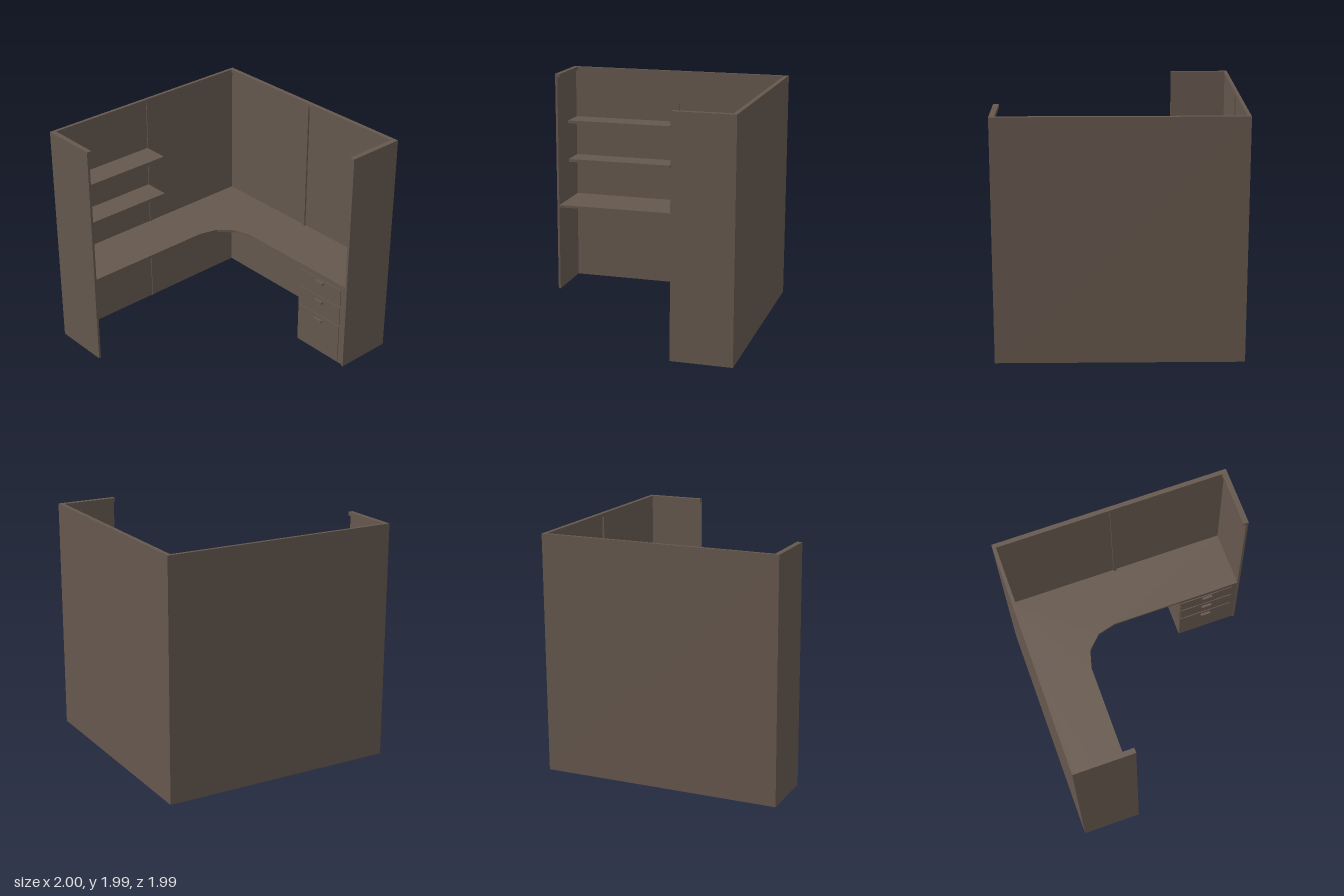
import * as THREE from 'three';

const material = new THREE.MeshStandardMaterial({ color: 0x65574d });

// Box given by its [min, max] range along each axis
function box(name, [x0, x1], [y0, y1], [z0, z1]) {
  const mesh = new THREE.Mesh(new THREE.BoxGeometry(x1 - x0, y1 - y0, z1 - z0), material);
  mesh.name = name;
  mesh.position.set((x0 + x1) / 2, (y0 + y1) / 2, (z0 + z1) / 2);
  return mesh;
}

export function createModel() {
  const group = new THREE.Group();
  const add = (...args) => group.add(box(...args));
  const H = 1.99, D = 0.995, T = 0.02, capY = 1.96;

  // Partition walls
  add('backWall', [-1, 1], [0, capY], [-D, -D + T]);
  add('rightWall', [1 - T, 1], [0, capY], [-D + T, D]);
  add('leftWall', [-1, -1 + T], [0, capY], [-D + T, -0.49]);
  add('frontWall', [0.49, 1 - T], [0, capY], [D - T, D]);

  // Wider top rails overhanging the inside of the walls
  add('backRail', [-1, 1], [capY, H], [-D, -0.967]);
  add('rightRail', [0.963, 1], [capY, H], [-0.967, D]);
  add('leftRail', [-1, -0.957], [capY, H], [-0.967, -0.49]);
  add('frontRail', [0.49, 0.963], [capY, H], [0.95, D]);

  // Joining posts halfway along the two long walls
  add('backPost', [-0.015, 0.01], [0, capY], [-D + T, -0.967]);
  add('rightPost', [0.965, 1 - T], [0, capY], [-0.013, 0.013]);

  // Wall shelves
  for (const y of [1.14, 1.5]) add('shelf', [-0.98, -0.015], [y, y + 0.026], [-D + T, -0.75]);

  // L-shaped desktop with a faceted inner curve (shape y is -z)
  const s = new THREE.Shape();
  s.moveTo(-0.98, D - T);
  s.lineTo(-0.98, 0.495);
  const r = 0.32;
  for (let i = 0; i <= 3; i++) {
    const a = Math.PI / 2 - (i * Math.PI) / 6;
    s.lineTo(0.17 + r * Math.cos(a), 0.175 + r * Math.sin(a));
  }
  s.lineTo(0.49, -D + T);
  s.lineTo(0.98, -D + T);
  s.lineTo(0.98, D - T);
  s.closePath();
  const deskGeometry = new THREE.ExtrudeGeometry(s, { depth: 0.022, bevelEnabled: false });
  deskGeometry.rotateX(-Math.PI / 2);
  const desk = new THREE.Mesh(deskGeometry, material);
  desk.name = 'desktop';
  desk.position.y = 0.77;
  group.add(desk);

  // Drawer cabinet under the side desk
  const cabinet = new THREE.Group();
  cabinet.name = 'drawerCabinet';
  cabinet.add(box('cabinetBody', [0.493, 0.98], [0.01, 0.77], [0.44, D - T]));
  for (const [y0, y1, handleY] of [[0.59, 0.74, 0.715], [0.4, 0.57, 0.525], [0.03, 0.38, 0.335]]) {
    cabinet.add(box('drawerFront', [0.486, 0.493], [y0, y1], [0.445, 0.93]));
    cabinet.add(box('drawerHandle', [0.465, 0.486], [handleY - 0.01, handleY + 0.01], [0.645, 0.735]));
  }
  group.add(cabinet);

  return group;
}
